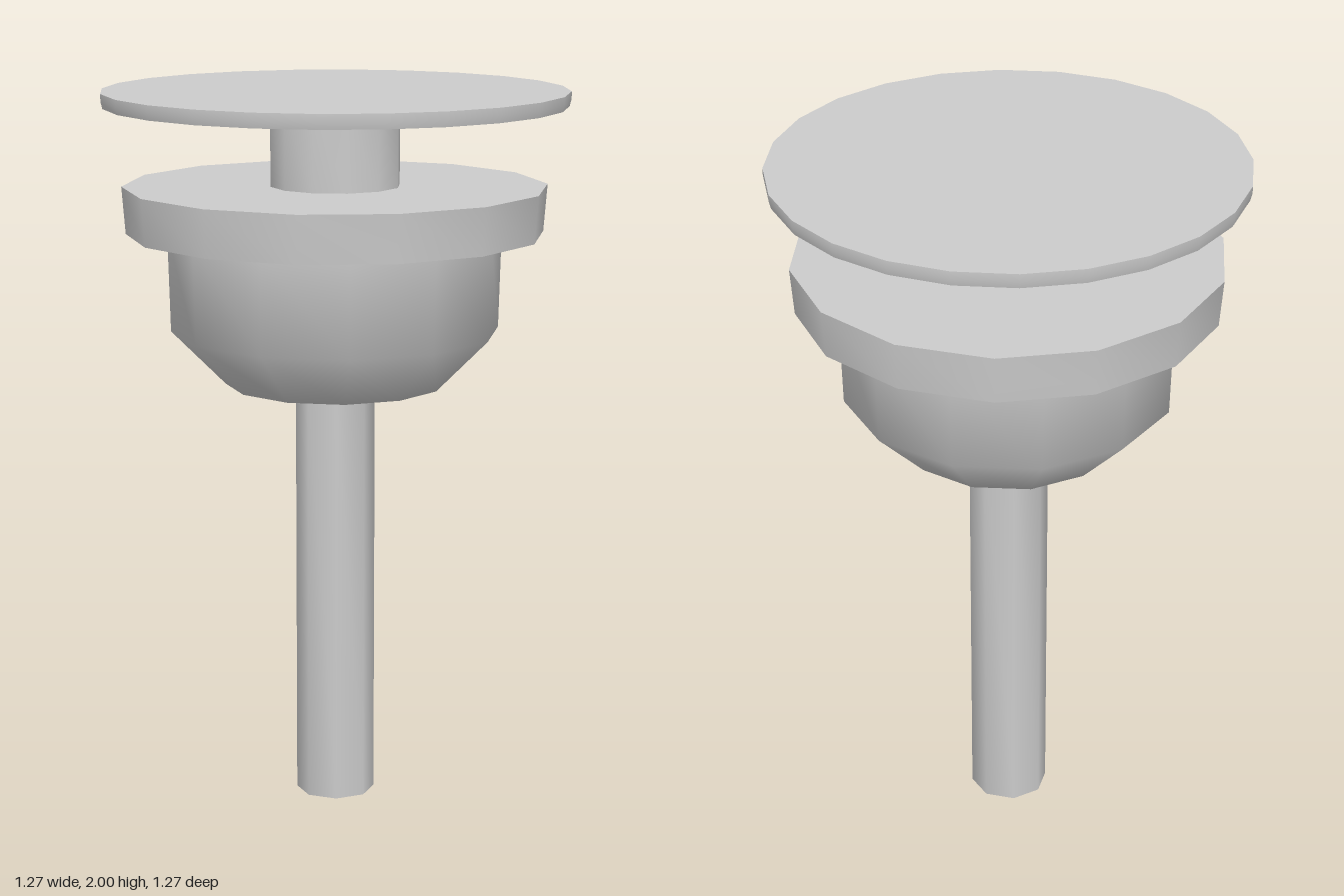
import * as THREE from 'three';
import { toCreasedNormals } from 'three/addons/utils/BufferGeometryUtils.js';

const material = new THREE.MeshStandardMaterial({ color: 0xcccccc, side: THREE.DoubleSide });

// Turned part from a [radius, height] profile running bottom to top
function turned(name, profile, sides, phase = 0) {
  const points = profile.map(([r, y]) => new THREE.Vector2(r, y));
  const lathe = new THREE.LatheGeometry(points, sides, phase);
  const mesh = new THREE.Mesh(toCreasedNormals(lathe, 0.9), material);
  mesh.name = name;
  return mesh;
}

export function createModel() {
  const group = new THREE.Group();
  group.name = 'pedestalPlunger';
  group.add(
    // Thin round plate on top
    turned('topDisc', [[0, 1.96], [0.635, 1.96], [0.64, 1.98], [0.64, 2], [0, 2]], 24, 0.11),
    // Short neck between plate and flange
    turned('neck', [[0.18, 1.73], [0.18, 1.965]], 12, 0.1),
    // Wide flange, slightly flared upwards
    turned('flange', [[0, 1.61], [0.575, 1.61], [0.585, 1.74], [0, 1.74]], 14, 0.12),
    // Cup with a chamfered underside
    turned('cup', [[0, 1.19], [0.305, 1.19], [0.455, 1.34], [0.462, 1.615]], 12),
    // Long stem
    turned('stem', [[0, 0], [0.11, 0], [0.11, 1.2]], 8, 0.2),
  );
  return group;
}
